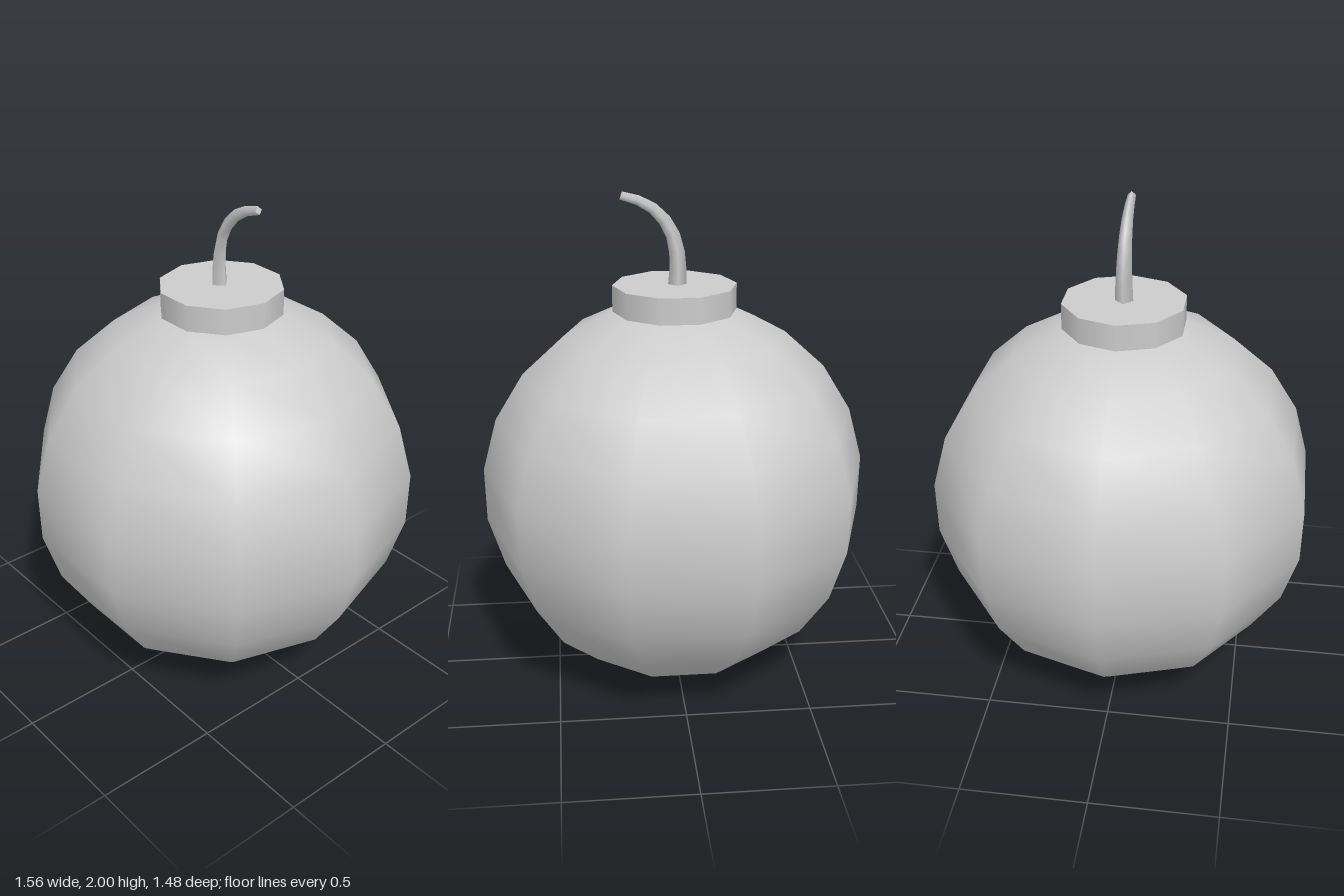
import * as THREE from 'three';

const SIDES = 10;
const RADIUS = 0.785;
const CENTRE_Y = 0.79;

const material = new THREE.MeshStandardMaterial({ color: 0xcccccc });

function addMesh(parent, name, geometry) {
  const mesh = new THREE.Mesh(geometry, material);
  mesh.name = name;
  parent.add(mesh);
  return mesh;
}

// Square tube whose radius shrinks evenly from start to end
function taperedTube(curve, segments, sides, startRadius, endRadius) {
  const geometry = new THREE.TubeGeometry(curve, segments, 1, sides, false);
  const position = geometry.attributes.position;
  const v = new THREE.Vector3();
  for (let i = 0; i <= segments; i++) {
    const centre = curve.getPointAt(i / segments);
    const radius = THREE.MathUtils.lerp(startRadius, endRadius, i / segments);
    for (let j = 0; j <= sides; j++) {
      const k = i * (sides + 1) + j;
      v.fromBufferAttribute(position, k).sub(centre).multiplyScalar(radius).add(centre);
      position.setXYZ(k, v.x, v.y, v.z);
    }
  }
  return geometry;
}

export function createModel() {
  const model = new THREE.Group();
  model.name = 'roundBomb';

  // Round body with a corner on each side of x, open beneath the collar
  const body = new THREE.SphereGeometry(
    RADIUS, SIDES, SIDES, 0, Math.PI * 2, Math.PI / SIDES, Math.PI * (1 - 1 / SIDES));
  body.translate(0, CENTRE_Y, 0);
  addMesh(model, 'body', body);

  // Short collar sitting on the top ring of the body
  const collarRadius = RADIUS * Math.sin(Math.PI / SIDES) + 0.002;
  const collarBottom = CENTRE_Y + RADIUS * Math.cos(Math.PI / SIDES);
  const collarTop = 1.64;
  const collar = new THREE.CylinderGeometry(
    collarRadius, collarRadius, collarTop - collarBottom, SIDES);
  collar.rotateY(Math.PI / 2);
  collar.translate(0, (collarTop + collarBottom) / 2, 0);
  addMesh(model, 'collar', collar);

  // Curved fuse, thinner towards the tip
  const path = new THREE.CatmullRomCurve3([
    [-0.01, 1.635], [-0.012, 1.74], [0.01, 1.84], [0.06, 1.915], [0.125, 1.96], [0.205, 1.985],
  ].map(([x, y]) => new THREE.Vector3(x, y, 0)));
  const fuse = new THREE.Group();
  fuse.name = 'fuse';
  model.add(fuse);
  addMesh(fuse, 'fuseCord', taperedTube(path, 7, 4, 0.036, 0.016));

  // Flat end closing the fuse
  const tip = addMesh(fuse, 'fuseTip', new THREE.CircleGeometry(0.016, 4));
  tip.position.copy(path.getPointAt(1));
  tip.lookAt(tip.position.clone().add(path.getTangentAt(1)));

  return model;
}
